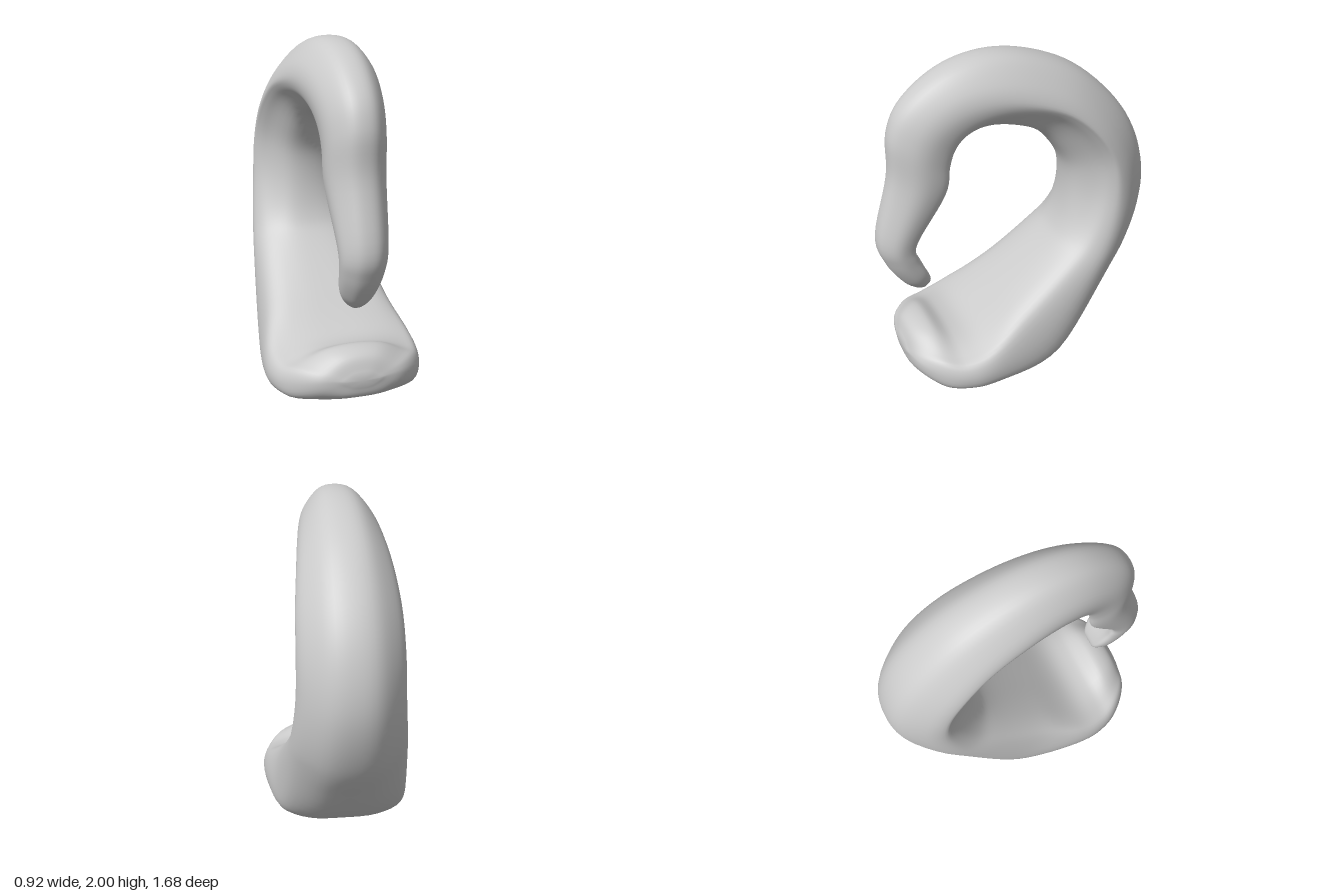
import * as THREE from 'three';

// Stations from front lip to hook tip: outer z, outer y, inner z, inner y, half width
const STATIONS = [
  [0.737, 0.13, 0.735, 0.2, 0.1],
  [0.71, 0.055, 0.685, 0.295, 0.25],
  [0.60, 0.012, 0.58, 0.325, 0.375],
  [0.45, 0, 0.46, 0.275, 0.445],
  [0.25, 0, 0.30, 0.295, 0.46],
  [-0.22, 0.02, 0.08, 0.45, 0.405],
  [-0.59, 0.42, -0.19, 0.68, 0.357],
  [-0.76, 0.69, -0.29, 0.82, 0.33],
  [-0.84, 1.0, -0.335, 1.02, 0.307],
  [-0.80, 1.30, -0.32, 1.22, 0.3],
  [-0.66, 1.57, -0.23, 1.38, 0.292],
  [-0.41, 1.815, -0.12, 1.49, 0.27],
  [-0.12, 1.955, 0.04, 1.555, 0.246],
  [0.16, 2.0, 0.18, 1.58, 0.222],
  [0.42, 1.945, 0.30, 1.56, 0.2],
  [0.64, 1.79, 0.37, 1.50, 0.182],
  [0.735, 1.60, 0.41, 1.40, 0.172],
  [0.75, 1.33, 0.445, 1.23, 0.166],
  [0.84, 0.96, 0.62, 0.94, 0.138],
  [0.80, 0.78, 0.62, 0.82, 0.125],
  [0.71, 0.635, 0.565, 0.70, 0.105],
  [0.64, 0.57, 0.54, 0.62, 0.07],
  [0.59, 0.545, 0.555, 0.57, 0.03],
];
const SPANS = STATIONS.length - 1;
const ROWS = SPANS * 6;
const COLS = 56;

// Closed cross-section at station u: x is a fraction of the half width, y runs from outer (0) to inner (1)
function crossSection(u) {
  const { smoothstep, lerp } = THREE.MathUtils;
  // rims sit below the middle on the lip and around the big bend
  const drop = 0.3 * (1 - smoothstep(u, 2, 5)) + 0.35 * Math.exp(-(((u - 10) / 3.5) ** 2));
  // underside is flat on the base
  const flat = smoothstep(u, 0, 2.5) * (1 - smoothstep(u, 4, 6.5));
  // shallow channel inside the hanging hook
  const channel = 0.14 * smoothstep(u, 13, 16) * (1 - smoothstep(u, 18, 21));
  const half = [
    [lerp(0.45, 0.55, flat), lerp(0.06, 0, flat)],
    [lerp(0.85, 0.92, flat), lerp(0.3, 0.07, flat)],
    [1, lerp(0.55, 0.4, flat) - drop * 0.2],
    [0.94, 0.84 - drop * 0.8],
    [0.76, 0.98 - drop * 0.85],
    [0.42, 1 - channel * 0.7 - drop * 0.2],
  ];
  const mirrored = half.map(([x, y]) => [-x, y]).reverse();
  const points = [[0, 0], ...half, [0, 1 - channel], ...mirrored];
  const curve = new THREE.CatmullRomCurve3(points.map(([x, y]) => new THREE.Vector3(x, y, 0)), true, 'catmullrom', 0.5);
  return Array.from({ length: COLS }, (_, j) => curve.getPoint(j / COLS));
}

function spline(pick) {
  return new THREE.CatmullRomCurve3(STATIONS.map((s) => new THREE.Vector3(...pick(s))), false, 'catmullrom', 0.5);
}

export function createModel() {
  const group = new THREE.Group();
  const outer = spline(([oz, oy, , , w]) => [w, oy, oz]);
  const inner = spline(([, , iz, iy]) => [0, iy, iz]);
  const positions = [];
  const index = [];

  // Loft the cross-sections along the hook
  for (let i = 0; i <= ROWS; i++) {
    const t = i / ROWS;
    const o = outer.getPoint(t);
    const n = inner.getPoint(t);
    for (const p of crossSection(t * SPANS)) {
      positions.push(p.x * o.x, Math.max(0, o.y + (n.y - o.y) * p.y), o.z + (n.z - o.z) * p.y);
    }
  }
  for (let i = 0; i < ROWS; i++) {
    for (let j = 0; j < COLS; j++) {
      const a = i * COLS + j;
      const c = i * COLS + ((j + 1) % COLS);
      index.push(a, a + COLS, c, a + COLS, c + COLS, c);
    }
  }

  // Close the lip and the tip with a fan
  for (const row of [0, ROWS]) {
    const o = outer.getPoint(row / ROWS);
    const n = inner.getPoint(row / ROWS);
    const center = positions.length / 3;
    positions.push(0, (o.y + n.y) / 2, (o.z + n.z) / 2 + (row === 0 ? 0.004 : -0.01));
    for (let j = 0; j < COLS; j++) {
      const a = row * COLS + j;
      const b = row * COLS + ((j + 1) % COLS);
      if (row === 0) index.push(center, a, b);
      else index.push(center, b, a);
    }
  }

  const geometry = new THREE.BufferGeometry();
  geometry.setAttribute('position', new THREE.Float32BufferAttribute(positions, 3));
  geometry.setIndex(index);
  geometry.computeVertexNormals();
  const hook = new THREE.Mesh(geometry, new THREE.MeshStandardMaterial({ color: 0xcccccc }));
  hook.name = 'curvedHook';
  group.add(hook);
  return group;
}
